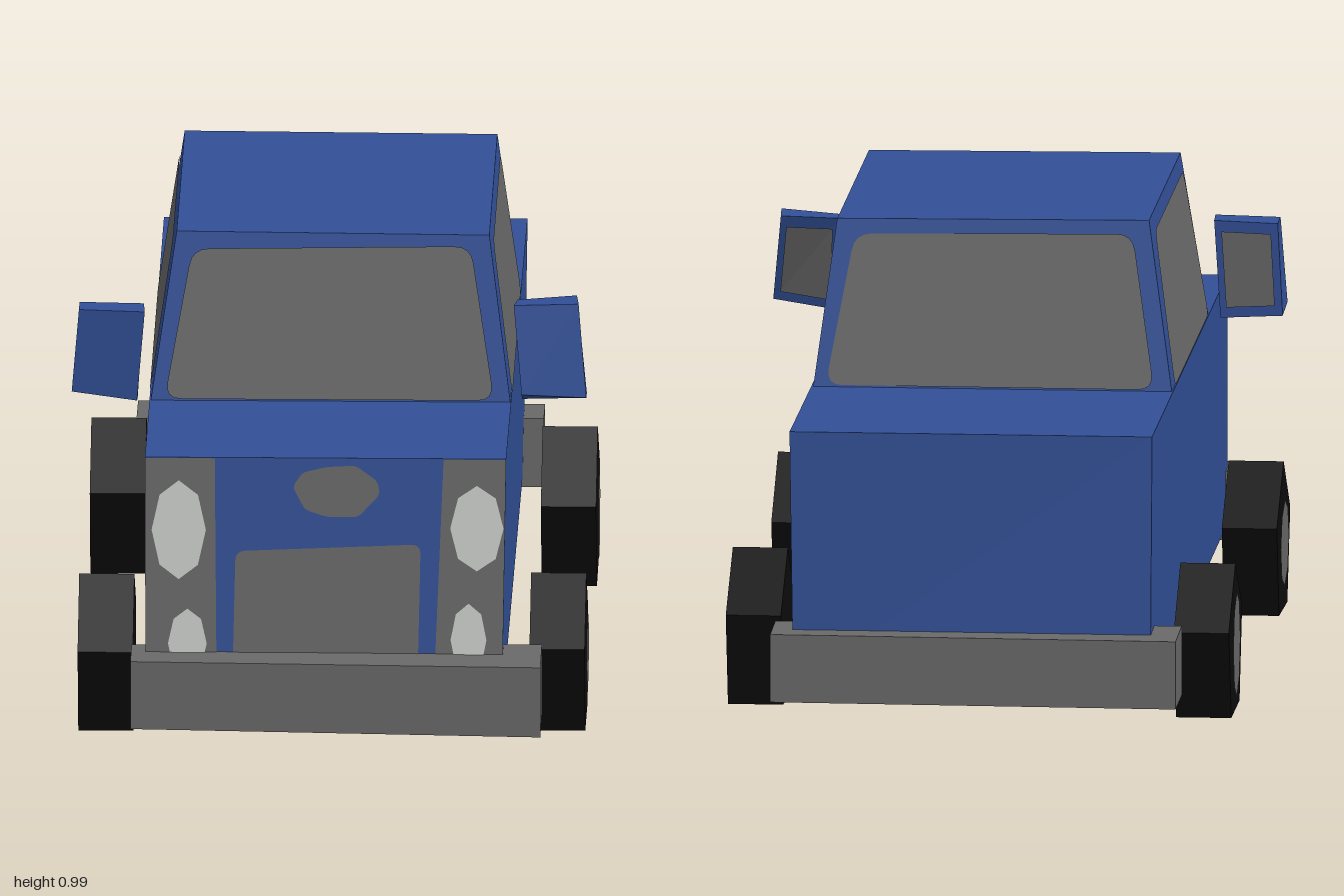
import * as THREE from 'three';

const mat = (name, color) => {
  const m = new THREE.MeshStandardMaterial({ color });
  m.name = name;
  return m;
};

// Six-sided solid from 8 corners: bottom ring, then top ring,
// each ordered back-right, back-left, front-left, front-right (left = +x).
const FACES = [[0, 1, 2, 3], [7, 6, 5, 4], [3, 2, 6, 7], [1, 0, 4, 5], [2, 1, 5, 6], [0, 3, 7, 4]];
function solid(corners) {
  const pos = [];
  const geo = new THREE.BufferGeometry();
  FACES.forEach(([a, b, c, d], i) => {
    [a, b, c, a, c, d].forEach(k => pos.push(...corners[k]));
    geo.addGroup(i * 6, 6, i === 0 ? 1 : 0); // underside gets the second material
  });
  geo.setAttribute('position', new THREE.Float32BufferAttribute(pos, 3));
  geo.computeVertexNormals();
  return geo;
}

// Closed shape with softened corners
function rounded(pts, r) {
  const s = new THREE.Shape();
  const v = pts.map(p => new THREE.Vector2(...p));
  v.forEach((p, i) => {
    const toward = q => q.clone().sub(p).setLength(r).add(p);
    const a = toward(v[(i + v.length - 1) % v.length]);
    const b = toward(v[(i + 1) % v.length]);
    if (i === 0) s.moveTo(a.x, a.y); else s.lineTo(a.x, a.y);
    s.quadraticCurveTo(p.x, p.y, b.x, b.y);
  });
  s.closePath();
  return s;
}

const oval = (x, y, rx, ry) => {
  const s = new THREE.Shape();
  s.absellipse(x, y, rx, ry, 0, Math.PI * 2, false, 0);
  return s;
};

// Flat painted panel: depth(y) lays it on a sloping face, turn picks the side
function panel(shape, depth, turn = 0) {
  const geo = new THREE.ShapeGeometry(shape, 4);
  const p = geo.attributes.position;
  for (let i = 0; i < p.count; i++) p.setZ(i, depth(p.getY(i)));
  geo.rotateY(turn);
  geo.computeVertexNormals();
  return geo;
}

const slope = (y0, d0, y1, d1, lift = 0.004) => y => d0 + (d1 - d0) * (y - y0) / (y1 - y0) + lift;

export function createModel() {
  const car = new THREE.Group();
  car.name = 'car';
  const blue = mat('blue paint', 0x325097);
  const grey = mat('grey trim', 0x696969);
  const black = mat('black rubber', 0x0c0c0c);
  const white = mat('pale lamp', 0xcbcdcb);

  const add = (name, geo, material, parent = car) => {
    const mesh = new THREE.Mesh(geo, material);
    mesh.name = name;
    parent.add(mesh);
    return mesh;
  };

  // Lower body and cabin
  add('lowerBody', solid([
    [-0.373, 0.123, -0.945], [0.366, 0.123, -0.945], [0.362, 0.133, 0.92], [-0.373, 0.133, 0.92],
    [-0.375, 0.66, -0.925], [0.375, 0.66, -0.93], [0.37, 0.66, 0.885], [-0.375, 0.66, 0.885],
  ]), [blue, grey]);
  add('cabin', solid([
    [-0.373, 0.655, -0.42], [0.37, 0.655, -0.425], [0.37, 0.655, 0.457], [-0.373, 0.655, 0.457],
    [-0.32, 1.007, -0.357], [0.325, 1.002, -0.362], [0.325, 1.002, 0.4], [-0.32, 1.007, 0.4],
  ]), [blue, blue]);

  // Windows
  const wide = rounded([[-0.344, 0.664], [0.336, 0.664], [0.287, 0.98], [-0.288, 0.972]], 0.035);
  add('windshield', panel(wide, slope(0.655, 0.457, 1.005, 0.4)), grey);
  add('rearWindow', panel(wide, slope(0.655, 0.423, 1.005, 0.359), Math.PI), grey);
  const sideWindow = flip => {
    const pts = [[-0.425, 0.664], [0.385, 0.664], [0.31, 0.977], [-0.365, 0.977]];
    return rounded(flip ? pts.map(([s, y]) => [-s, y]).reverse() : pts, 0.035);
  };
  add('leftWindow', panel(sideWindow(false), slope(0.655, 0.37, 1.002, 0.325), Math.PI / 2), grey);
  add('rightWindow', panel(sideWindow(true), slope(0.655, 0.373, 1.007, 0.32), -Math.PI / 2), grey);

  // Front face: lamp strips, grille, badge plate and lamps
  const nose = slope(0.133, 0.92, 0.66, 0.885, 0.003);
  const lampFace = slope(0.133, 0.92, 0.66, 0.885, 0.006);
  const sharp = pts => new THREE.Shape(pts.map(p => new THREE.Vector2(...p)));
  add('rightLampStrip', panel(sharp([[-0.373, 0.135], [-0.226, 0.135], [-0.231, 0.659], [-0.375, 0.659]]), nose), grey);
  add('leftLampStrip', panel(sharp([[0.22, 0.135], [0.362, 0.135], [0.37, 0.659], [0.241, 0.659]]), nose), grey);
  add('grille', panel(rounded([[-0.195, 0.15], [0.187, 0.15], [0.194, 0.48], [-0.188, 0.464]], 0.02), nose), grey);
  add('badgePlate', panel(rounded([
    [-0.07, 0.6], [-0.045, 0.552], [0.0, 0.537], [0.065, 0.537], [0.11, 0.585], [0.105, 0.612],
    [0.06, 0.645], [0.0, 0.642], [-0.05, 0.63]], 0.01), nose), grey);
  [['rightHeadlamp', -0.305, 0.509, 0.056, 0.104], ['leftHeadlamp', 0.31, 0.515, 0.055, 0.09],
    ['rightLowerLamp', -0.287, 0.27, 0.04, 0.073], ['leftLowerLamp', 0.293, 0.28, 0.037, 0.077],
  ].forEach(([name, ...o]) => add(name, panel(oval(...o), lampFace), white));

  // Bumpers
  add('frontBumper', solid([
    [-0.403, 0.107, 0.865], [0.443, 0.107, 0.845], [0.443, 0.095, 0.995], [-0.403, 0.105, 0.985],
    [-0.403, 0.252, 0.865], [0.443, 0.252, 0.845], [0.443, 0.245, 0.998], [-0.403, 0.25, 0.987],
  ]), [grey, grey]);
  add('rearBumper', solid([
    [-0.43, 0.103, -1], [0.41, 0.103, -0.99], [0.41, 0.103, -0.865], [-0.43, 0.105, -0.85],
    [-0.43, 0.245, -1], [0.41, 0.245, -0.99], [0.41, 0.25, -0.865], [-0.43, 0.25, -0.85],
  ]), [grey, grey]);

  // Five-sided wheels with painted hubs: name, side, z, y, radius, roll, hub radii
  [['frontLeftWheel', 1, 0.583, 0.16, 0.171, 0, 0.108, 0.085],
    ['rearLeftWheel', 1, -0.513, 0.163, 0.173, 0.05, 0.088, 0.113],
    ['frontRightWheel', -1, 0.585, 0.156, 0.17, 0.04, 0.1, 0.09],
    ['rearRightWheel', -1, -0.57, 0.161, 0.169, 0, 0.085, 0.11],
  ].forEach(([name, side, z, y, r, roll, hx, hy]) => {
    const wheel = new THREE.Group();
    wheel.name = name;
    wheel.position.set(side > 0 ? 0.472 : -0.46, y, z);
    wheel.rotation.x = roll;
    const tyre = new THREE.CylinderGeometry(r, r, 0.114, 5).toNonIndexed();
    tyre.rotateZ(Math.PI / 2).rotateX(-Math.PI / 2);
    tyre.computeVertexNormals();
    add('tyre', tyre, black, wheel);
    add('hub', panel(oval(0, 0, hx, hy), () => 0.06, side * Math.PI / 2), grey, wheel);
    car.add(wheel);
  });

  // Door mirrors: painted shell with a glass plate on the rear face
  const mirror = (name, c) => {
    const g = new THREE.Group();
    g.name = name;
    add('mirrorShell', solid(c), [blue, blue], g);
    const q = FACES[3].map(k => new THREE.Vector3(...c[k]));
    const mid = q.reduce((s, p) => s.add(p), new THREE.Vector3()).multiplyScalar(0.25);
    const n = q[1].clone().sub(q[0]).cross(q[3].clone().sub(q[0])).setLength(0.005);
    const inset = q.map(p => p.clone().lerp(mid, 0.22).add(n));
    const glass = new THREE.BufferGeometry().setFromPoints([0, 1, 2, 0, 2, 3].map(i => inset[i]));
    glass.computeVertexNormals();
    add('mirrorGlass', glass, grey, g);
    car.add(g);
  };
  mirror('leftMirror', [
    [0.393, 0.66, 0.43], [0.527, 0.678, 0.445], [0.527, 0.683, 0.5], [0.393, 0.682, 0.478],
    [0.383, 0.86, 0.386], [0.505, 0.866, 0.372], [0.51, 0.868, 0.445], [0.376, 0.86, 0.43],
  ]);
  mirror('rightMirror', [
    [-0.53, 0.665, 0.415], [-0.4, 0.656, 0.43], [-0.4, 0.67, 0.495], [-0.535, 0.683, 0.475],
    [-0.52, 0.858, 0.415], [-0.387, 0.86, 0.43], [-0.384, 0.86, 0.495], [-0.52, 0.86, 0.48],
  ]);
  return car;
}
